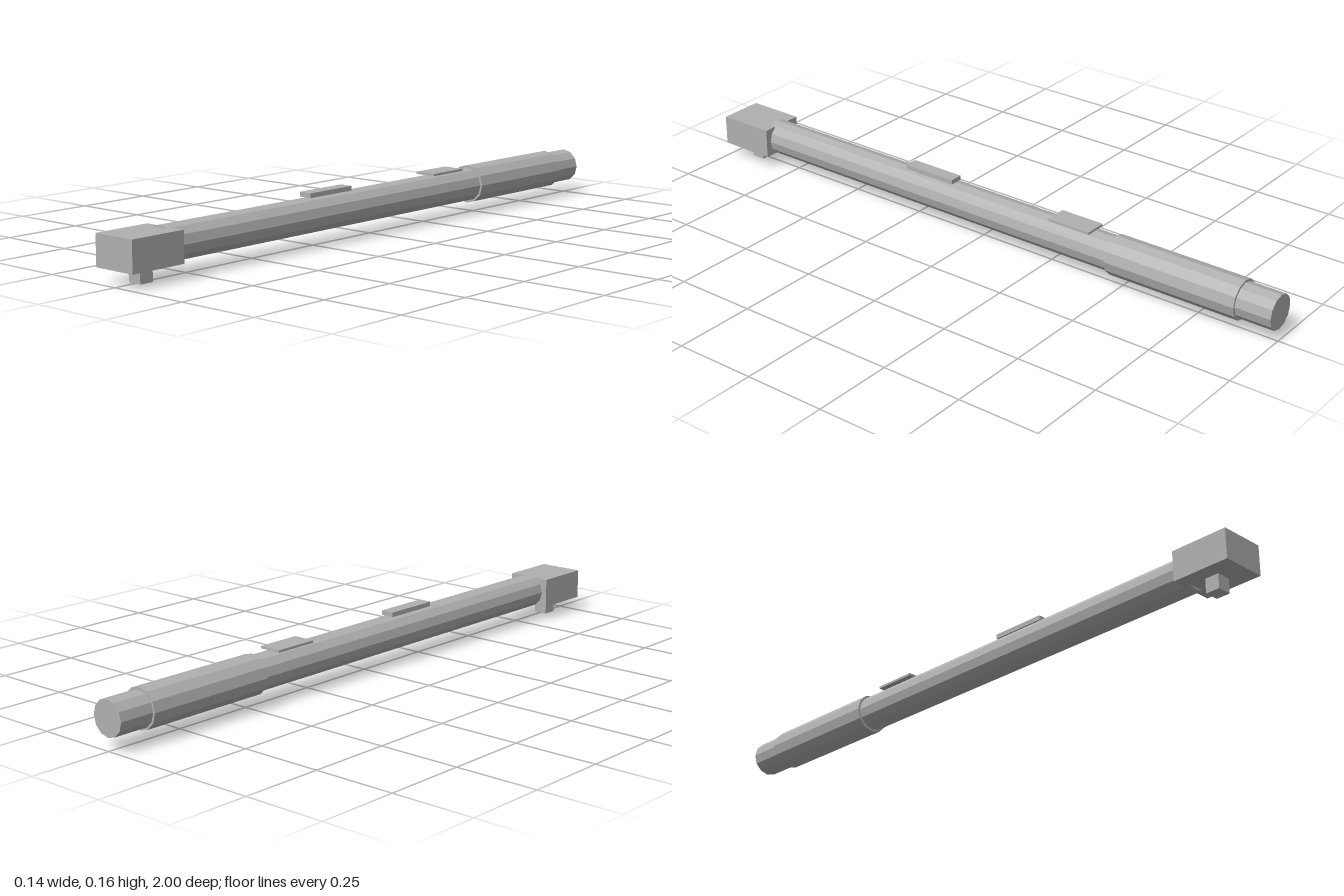
import * as THREE from 'three';

export function createModel() {
  const model = new THREE.Group();
  model.name = 'torqueWrench';

  const steel = new THREE.MeshStandardMaterial({ color: 0xb0b0b0, flatShading: true });
  steel.name = 'grey steel';

  const AXIS_Y = 0.09; // height of the shaft's centre line

  function add(name, geometry, y, z) {
    const mesh = new THREE.Mesh(geometry, steel);
    mesh.name = name;
    mesh.position.set(0, y, z);
    model.add(mesh);
  }

  // Twelve-sided rod along z, with a vertex at the top
  function rod(name, radius, z0, z1) {
    const geometry = new THREE.CylinderGeometry(radius, radius, z1 - z0, 12);
    geometry.rotateX(Math.PI / 2);
    add(name, geometry, AXIS_Y, (z0 + z1) / 2);
  }

  // Block centred on x, given by its y and z ranges
  function block(name, width, y0, y1, z0, z1) {
    add(name, new THREE.BoxGeometry(width, y1 - y0, z1 - z0), (y0 + y1) / 2, (z0 + z1) / 2);
  }

  // Shaft and handle
  rod('shaft', 0.053, -1, 0.84);
  rod('grip', 0.06, -0.89, -0.47);

  // Head with the square drive below it
  block('head', 0.14, 0.044, 0.135, 0.82, 1);
  block('squareDrive', 0.044, 0, 0.044, 0.888, 0.932);

  // Raised plates on top of the shaft
  block('scaleWindow', 0.07, 0.143, 0.15, -0.4, -0.26);
  block('labelPlate', 0.042, 0.143, 0.157, 0.105, 0.28);

  return model;
}
